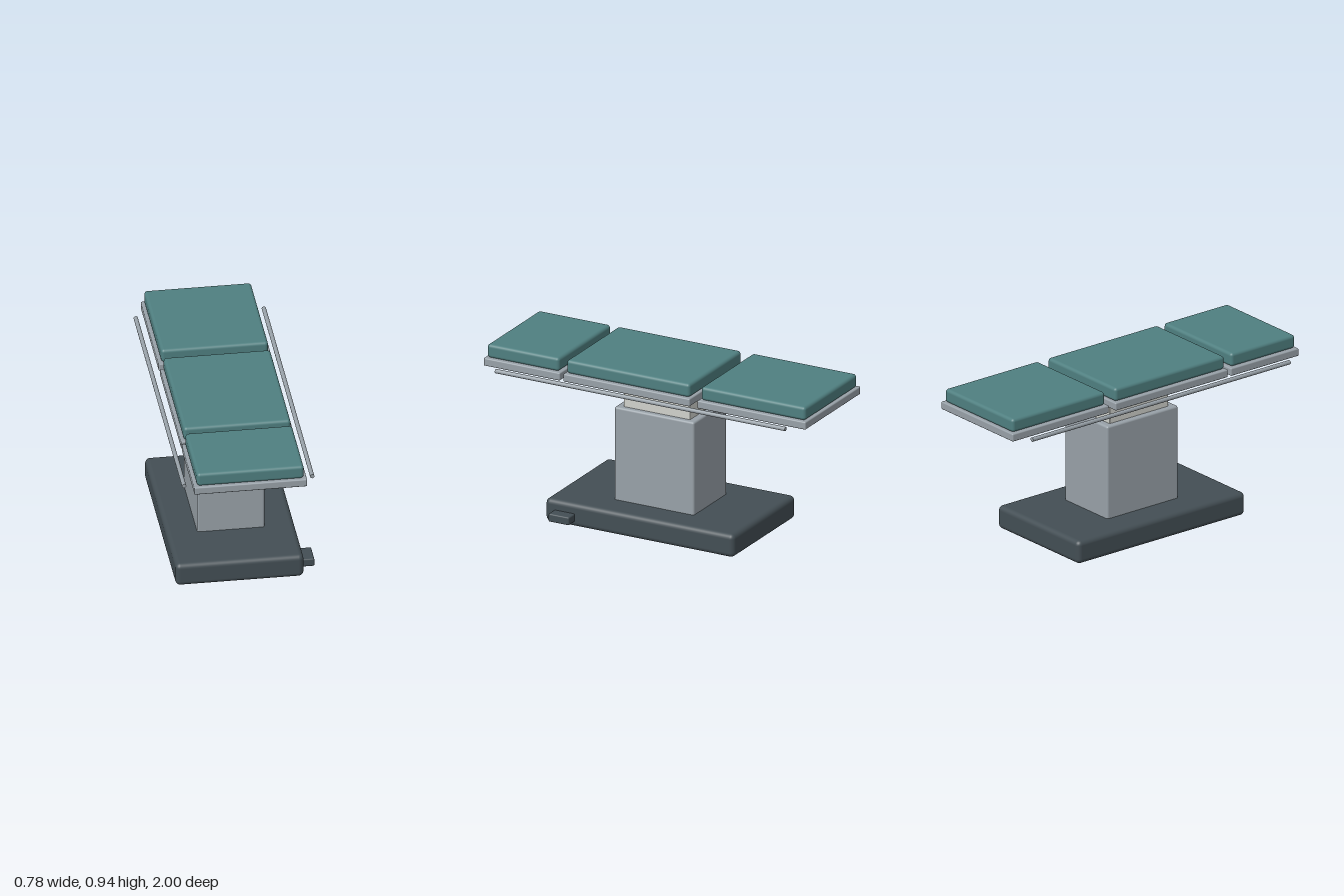
import * as THREE from 'three';
import { RoundedBoxGeometry } from 'three/addons/geometries/RoundedBoxGeometry.js';

const paint = (color) => new THREE.MeshStandardMaterial({ color });

export function createModel() {
  const model = new THREE.Group();
  model.name = 'operatingTable';

  const dark = paint(0x434e54);
  const steel = paint(0x98a1a8);
  const pale = paint(0xd0d2cc);
  const teal = paint(0x4f7f80);
  const cx = -0.028; // the table's midline; the pedal sticks out to its left

  // Rounded box given by its x, y and z extents
  function block(name, material, [x0, x1], [y0, y1], [z0, z1], radius) {
    const geometry = new RoundedBoxGeometry(x1 - x0, y1 - y0, z1 - z0, 3, radius);
    const mesh = new THREE.Mesh(geometry, material);
    mesh.name = name;
    mesh.position.set((x0 + x1) / 2, (y0 + y1) / 2, (z0 + z1) / 2);
    model.add(mesh);
  }
  const span = (half) => [cx - half, cx + half];

  // Base with foot pedal
  block('base', dark, span(0.352), [0, 0.134], [-0.575, 0.595], 0.028);
  block('footPedal', dark, [0.28, 0.39], [0.03, 0.077], [0.41, 0.538], 0.008);

  // Telescopic column
  block('columnHousing', steel, span(0.185), [0.1, 0.673], [-0.238, 0.258], 0.012);
  block('columnPiston', pale, span(0.155), [0.6, 0.83], [-0.198, 0.214], 0.004);

  // Three table sections: support plate and cushion, as z extents
  const sections = [
    ['leg', [0.526, 1], [0.541, 0.988]],
    ['seat', [-0.28, 0.506], [-0.27, 0.495]],
    ['back', [-1, -0.326], [-0.988, -0.34]],
  ];
  for (const [name, plate, cushion] of sections) {
    block(name + 'Plate', steel, span(0.31), [0.816, 0.861], plate, 0.007);
    block(name + 'Cushion', teal, span(0.294), [0.86, 0.938], cushion, 0.018);
  }

  // Side rails
  const railGeometry = new THREE.CylinderGeometry(0.012, 0.012, 1.8, 16).rotateX(Math.PI / 2);
  for (const side of [-1, 1]) {
    const rail = new THREE.Mesh(railGeometry, steel);
    rail.name = side > 0 ? 'leftRail' : 'rightRail';
    rail.position.set(cx + side * 0.352, 0.818, 0);
    model.add(rail);
  }
  return model;
}
